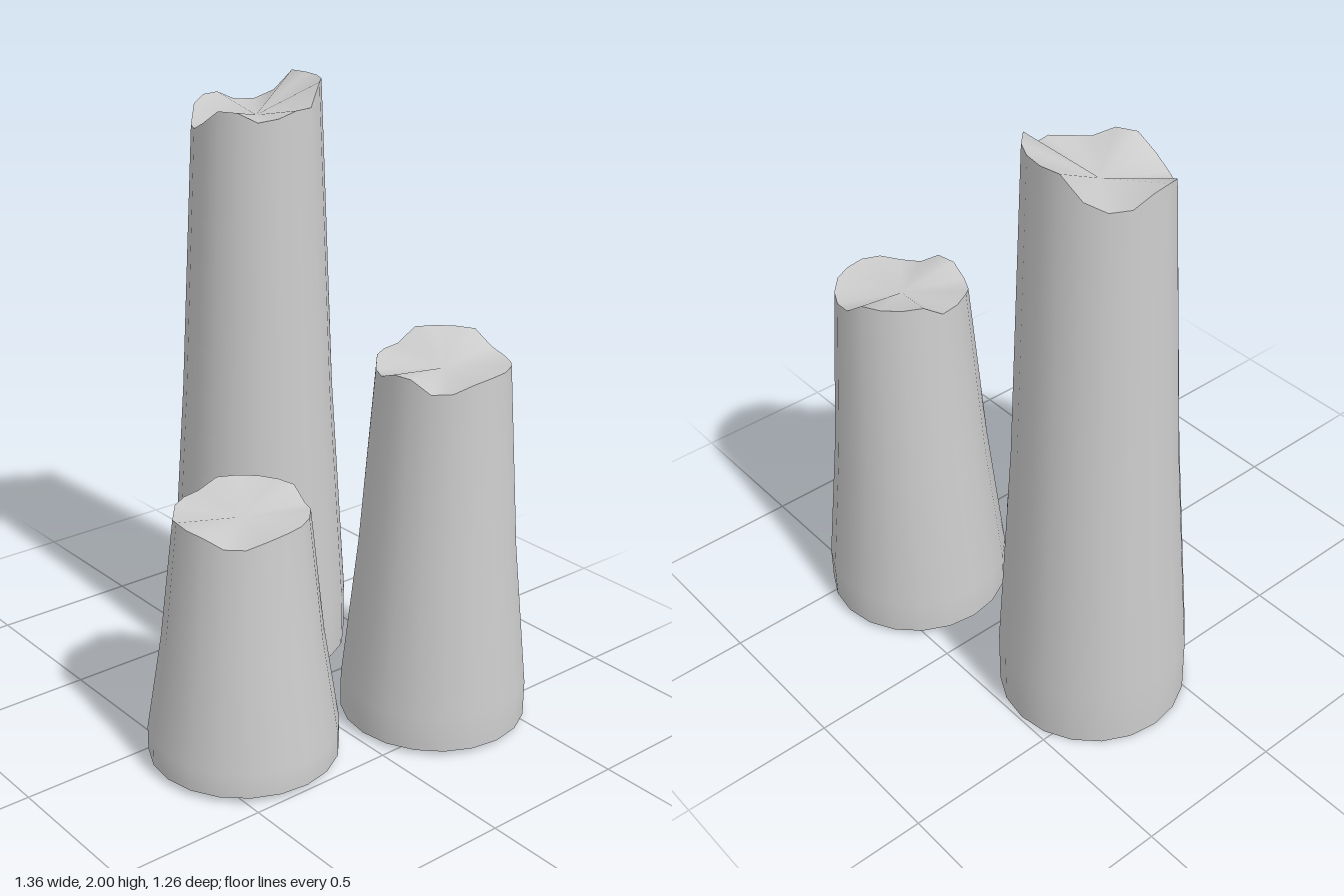
import * as THREE from 'three';

const SIDES = 20;
const material = new THREE.MeshStandardMaterial({ color: 0xcccccc, side: THREE.DoubleSide });

// Rim offsets run from +x round through the front, one per side.
const columns = [
  { name: 'tallColumn', x: -0.38, z: -0.185, base: 0, top: 1.93, dent: -0.045, turn: 0,
    rim: [0, -0.02, -0.03, 0, 0, -0.045, -0.075, -0.075, -0.02, 0,
      0, -0.03, -0.03, 0, 0.07, 0.07, 0.07, 0.07, 0.07, 0] },
  { name: 'middleColumn', x: 0.375, z: -0.328, base: 0.015, top: 1.225, dent: -0.025, turn: 0.01,
    rim: [0, -0.01, -0.035, -0.04, 0, 0, -0.025, -0.025, 0, 0,
      0, 0.045, 0.045, 0.045, 0.045, 0, -0.01, -0.01, 0, 0] },
  { name: 'shortColumn', x: 0.197, z: 0.323, base: 0.02, top: 0.835, dent: -0.018, turn: 0.043,
    rim: [0, -0.01, -0.03, -0.03, -0.005, 0, 0, -0.02, 0, 0,
      0, 0.03, 0.03, 0.03, 0.03, 0.03, -0.01, 0, 0, 0] },
];

// Raise or lower the vertices of the broken rim, and sink the cap centre.
function breakRim(geometry, { top, rim, dent }) {
  const p = geometry.attributes.position;
  for (let i = 0; i < p.count; i++) {
    if (p.getY(i) < top - 0.001) continue;
    const x = p.getX(i), z = p.getZ(i);
    const step = Math.round(Math.atan2(z, x) / (2 * Math.PI) * SIDES);
    const offset = Math.hypot(x, z) < 0.01 ? dent : rim[(step + SIDES) % SIDES];
    p.setY(i, top + offset);
  }
  return geometry;
}

function makeColumn(spec) {
  const column = new THREE.Group();
  column.name = spec.name;
  const h = spec.top - spec.base;

  // Tapered shaft, open underneath
  const profile = [[0.305, 0], [0.305, 0.1], [0.254, 0.5], [0.21, 1]]
    .map(([r, t]) => new THREE.Vector2(r, spec.base + t * h));
  const shaft = new THREE.Mesh(breakRim(new THREE.LatheGeometry(profile, SIDES), spec), material);
  shaft.name = 'shaft';

  // Jagged top surface
  const capGeometry = new THREE.CircleGeometry(0.21, SIDES);
  capGeometry.rotateX(-Math.PI / 2).translate(0, spec.top, 0);
  breakRim(capGeometry, spec).computeVertexNormals();
  const cap = new THREE.Mesh(capGeometry, material);
  cap.name = 'brokenTop';

  column.add(shaft, cap);
  column.position.set(spec.x, 0, spec.z);
  column.rotation.y = spec.turn;
  return column;
}

export function createModel() {
  const model = new THREE.Group();
  model.name = 'brokenColumns';
  columns.forEach((spec) => model.add(makeColumn(spec)));
  return model;
}
